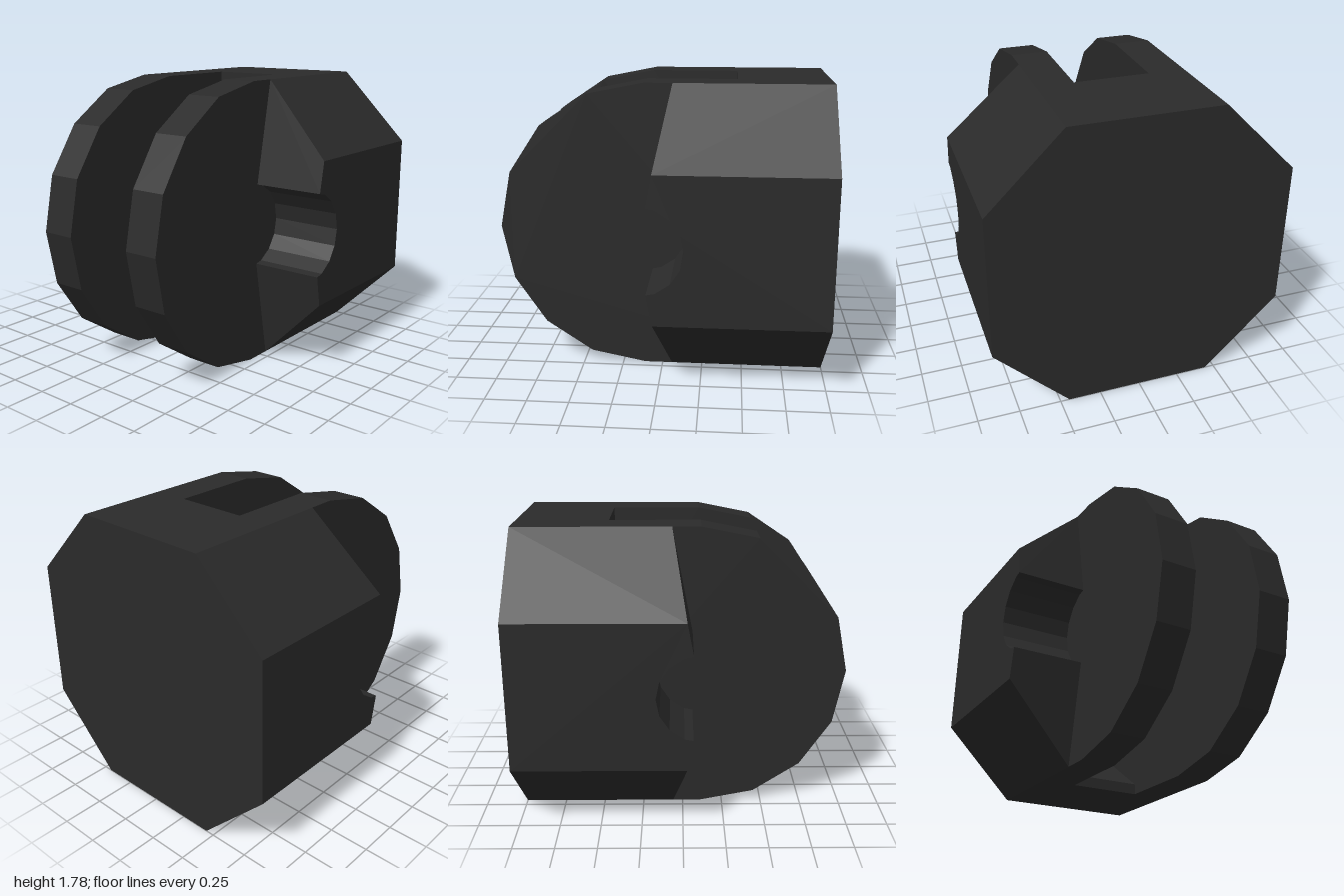
import * as THREE from 'three';

const R = 0.89, HALF = 0.445, SLOT = 0.225, MID = 0.89;
const LOW = 0.445, HIGH = 1.335, TOP = 1.78;

// point i on a 16-sided circle in the (z, y) plane
const ringPoint = (cz, r, i) => {
  const a = (i * Math.PI) / 8;
  return [cz + r * Math.cos(a), MID + r * Math.sin(a)];
};

// extrude a (z, y) profile across x from x0 to x1
function slab(name, profile, x0, x1, material) {
  const shape = new THREE.Shape(profile.map(([z, y]) => new THREE.Vector2(z, y)));
  const geo = new THREE.ExtrudeGeometry(shape, { depth: x1 - x0, bevelEnabled: false });
  geo.rotateY(-Math.PI / 2).translate(x1, 0, 0);
  const mesh = new THREE.Mesh(geo, material);
  mesh.name = name;
  return mesh;
}

// side block: notched profile whose outer outline is pulled in to form the chamfers
function sideBlock(name, side, material) {
  const inner = [[-1, 0], [-0.06, 0], [0.06, 0.635]];
  for (let i = 11; i >= 5; i--) inner.push(ringPoint(0.11, 0.265, i));
  inner.push([0.06, 1.145], [-0.06, TOP], [-1, TOP]);
  const outer = inner.map(([z, y]) => {
    if (y >= LOW && y <= HIGH) return [z, y];
    return [z > -0.5 ? 0.024 : -1, y < LOW ? LOW : HIGH];
  });
  const positions = [];
  const at = (list, i) => {
    const x = side * (list === inner ? HALF : R);
    return [x, list[i][1], list[i][0]];
  };
  const tri = (a, b, c) => positions.push(...a, ...(side > 0 ? b : c), ...(side > 0 ? c : b));
  // walls between the two outlines
  inner.forEach((_, i) => {
    const j = (i + 1) % inner.length;
    tri(at(inner, i), at(outer, i), at(inner, j));
    tri(at(inner, j), at(outer, i), at(outer, j));
  });
  // outer cap
  const contour = outer.map(([z, y]) => new THREE.Vector2(z, y));
  for (const [a, b, c] of THREE.ShapeUtils.triangulateShape(contour, [])) {
    tri(at(outer, a), at(outer, c), at(outer, b));
  }
  const geo = new THREE.BufferGeometry();
  geo.setAttribute('position', new THREE.Float32BufferAttribute(positions, 3));
  geo.computeVertexNormals();
  const mesh = new THREE.Mesh(geo, material);
  mesh.name = name;
  return mesh;
}

export function createModel() {
  const group = new THREE.Group();
  group.name = 'hingeBlock';
  const black = new THREE.MeshStandardMaterial({ color: 0x2a2a2a });
  black.name = 'black';

  // rounded fork plates
  const plate = [[-1, 0]];
  for (let i = -4; i <= 4; i++) plate.push(ringPoint(0.11, R, i));
  plate.push([-1, TOP]);
  group.add(slab('leftForkPlate', plate, SLOT, HALF, black));
  group.add(slab('rightForkPlate', plate, -HALF, -SLOT, black));

  // core behind the slot, hollowed by a concave arc
  const core = [[-1, 0], [-0.41, 0]];
  for (let i = 11; i >= 6; i--) core.push(ringPoint(-0.07, R, i));
  core.push([-0.44, 1.69], [-0.44, TOP], [-1, TOP]);
  group.add(slab('slotCore', core, -SLOT, SLOT, black));

  // chamfered side blocks with half-round pin notches
  group.add(sideBlock('leftSideBlock', 1, black));
  group.add(sideBlock('rightSideBlock', -1, black));
  return group;
}
